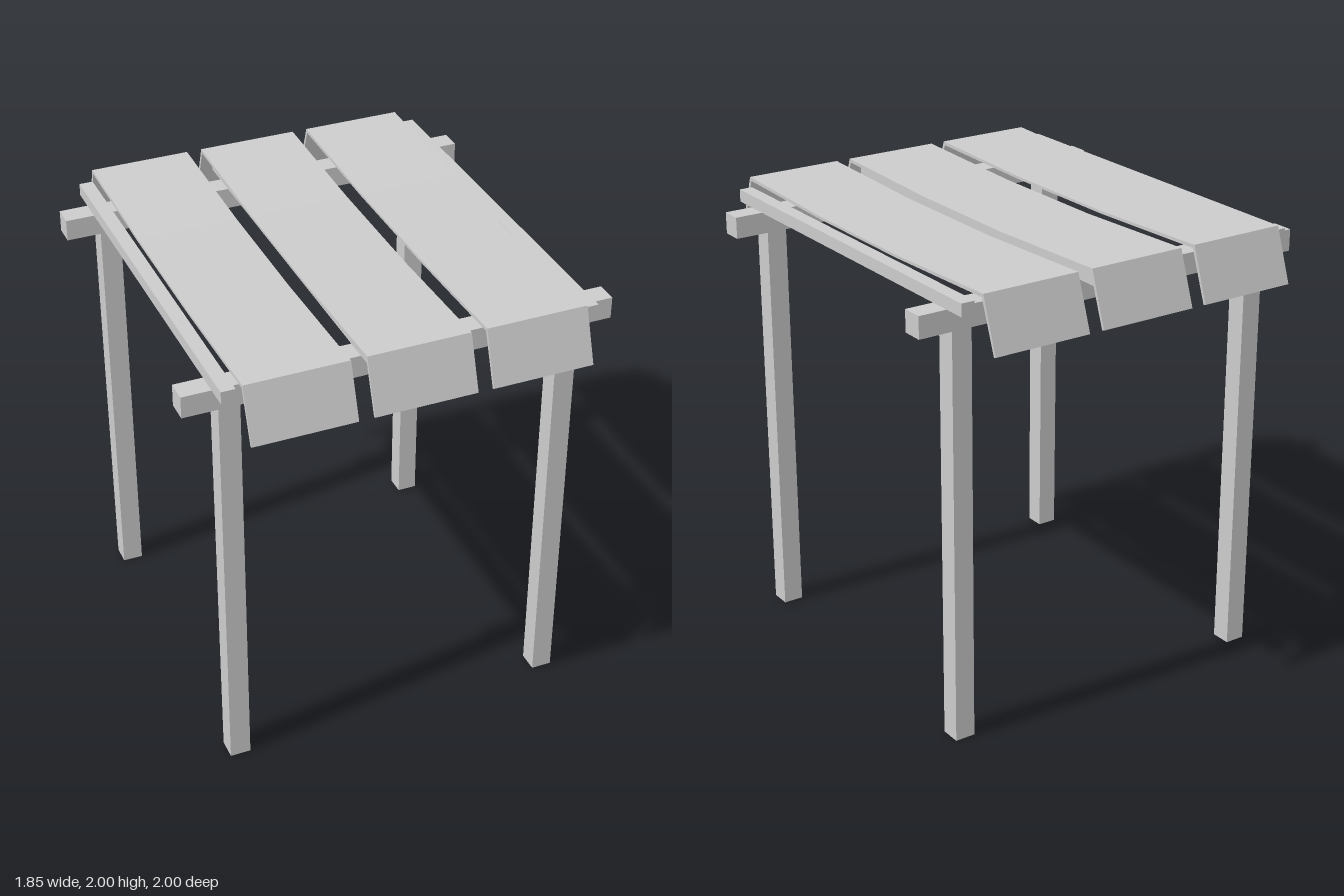
import * as THREE from 'three';

export function createModel() {
  const model = new THREE.Group();
  const grey = new THREE.MeshStandardMaterial({ color: 0xcccccc });
  grey.name = 'plain grey';

  const addBox = (name, w, h, d, x, y, z) => {
    const mesh = new THREE.Mesh(new THREE.BoxGeometry(w, h, d), grey);
    mesh.name = name;
    mesh.position.set(x, y, z);
    model.add(mesh);
  };

  // Four posts carrying a front and a back beam
  for (const z of [-0.73, 0.73]) {
    for (const x of [-0.73, 0.73]) addBox('post', 0.09, 1.815, 0.09, x, 0.9075, z);
    addBox('crossBeam', 1.85, 0.095, 0.095, 0, 1.8625, z);
  }

  // Six evenly spaced rafters running front to back
  for (let i = 0; i < 6; i++) {
    addBox('rafter', 0.06, 0.055, 1.76, -0.77 + i * 0.308, 1.9375, 0);
  }

  // Thin canopy strips: slight sag in the middle, a flap hanging at each end
  const top = [[1, 1.77], [0.918, 2], [0.3, 1.98]];
  const under = [[0.3, 1.968], [0.908, 1.984], [0.988, 1.766]];
  const mirror = (points) => points.map(([z, y]) => [-z, y]).reverse();
  const profile = [...top, ...mirror(top), ...mirror(under), ...under];
  const shape = new THREE.Shape(profile.map(([z, y]) => new THREE.Vector2(z, y)));
  const width = 0.44;
  const stripGeometry = new THREE.ExtrudeGeometry(shape, { depth: width, bevelEnabled: false });
  stripGeometry.translate(0, 0, -width / 2);
  stripGeometry.rotateY(-Math.PI / 2);
  for (const x of [-0.507, 0, 0.507]) {
    const strip = new THREE.Mesh(stripGeometry, grey);
    strip.name = 'canopyStrip';
    strip.position.x = x;
    model.add(strip);
  }

  return model;
}
